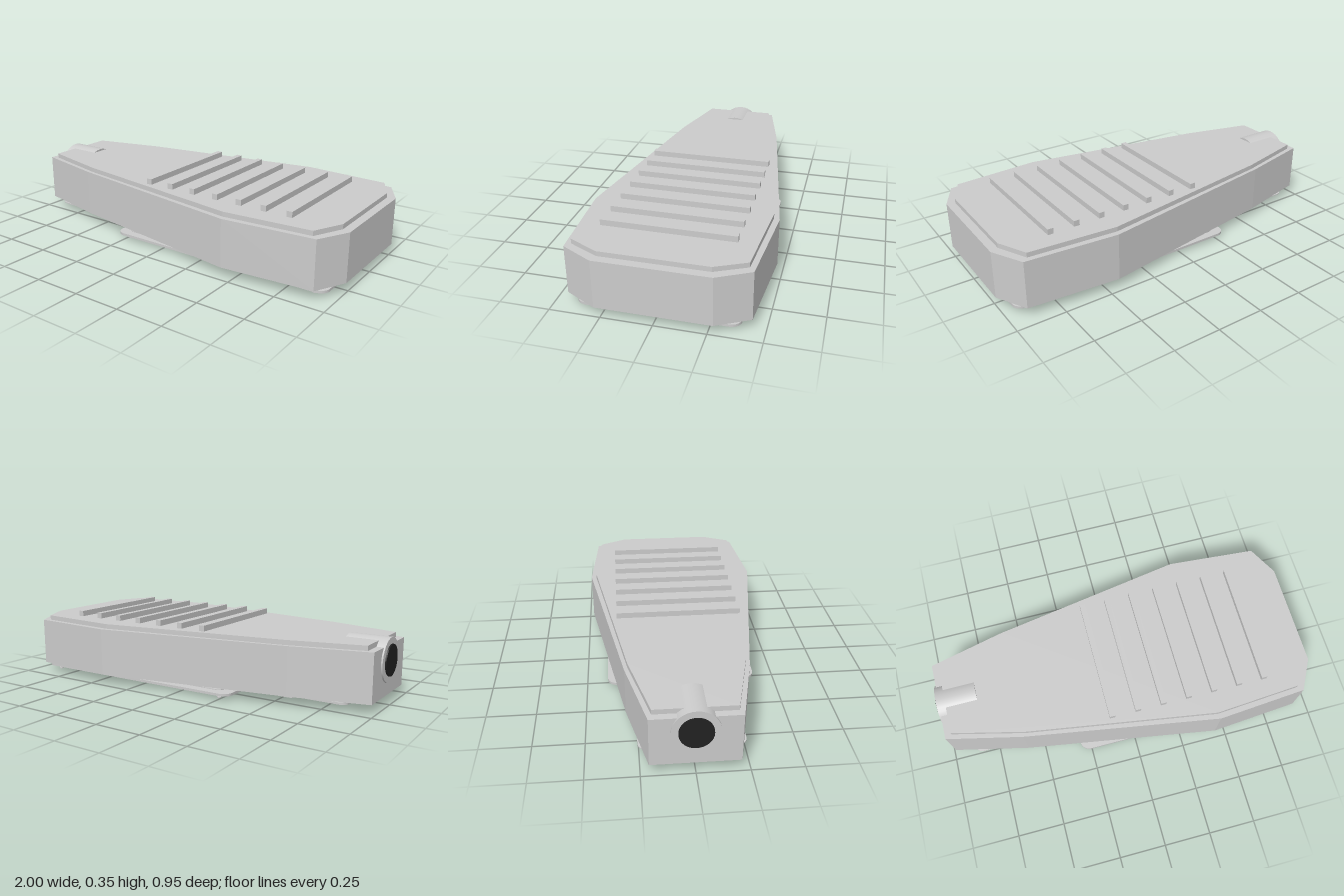
import * as THREE from 'three';

const grey = new THREE.MeshStandardMaterial({ color: 0xcccccc, flatShading: true });
const smooth = new THREE.MeshStandardMaterial({ color: 0xcccccc });
const dark = new THREE.MeshStandardMaterial({ color: 0x222222 });

// Closed shape from one half of a symmetric outline of [x, z] points
function mirroredShape(half) {
  const other = half.map(([x, z]) => [x, -z]).reverse();
  return new THREE.Shape([...half, ...other].map(([x, z]) => new THREE.Vector2(x, z)));
}

function roundedRect(x0, x1, halfZ, r, Type = THREE.Shape) {
  const s = new Type();
  s.absarc(x1 - r, halfZ - r, r, 0, Math.PI / 2);
  s.absarc(x0 + r, halfZ - r, r, Math.PI / 2, Math.PI);
  s.absarc(x0 + r, r - halfZ, r, Math.PI, Math.PI * 1.5);
  s.absarc(x1 - r, r - halfZ, r, Math.PI * 1.5, Math.PI * 2);
  s.closePath();
  return s;
}

export function createModel() {
  const model = new THREE.Group();

  function add(name, geometry, material, x = 0, y = 0, z = 0) {
    const mesh = new THREE.Mesh(geometry, material);
    mesh.name = name;
    mesh.position.set(x, y, z);
    model.add(mesh);
    return mesh;
  }

  // Horizontal slab between two heights
  function slab(name, shape, y0, y1, material = grey) {
    const geometry = new THREE.ExtrudeGeometry(shape, { depth: y1 - y0, bevelEnabled: false, curveSegments: 5 });
    geometry.rotateX(-Math.PI / 2);
    return add(name, geometry, material, 0, y0);
  }

  // Tapered housing and its inset lid
  slab('housing', mirroredShape([[-0.985, 0.21], [-0.59, 0.302], [0.44, 0.474], [0.915, 0.437], [1, 0.277]]), 0.05, 0.3);
  slab('lid', mirroredShape([[-0.948, 0.193], [-0.57, 0.286], [0.43, 0.445], [0.885, 0.412], [0.958, 0.262]]), 0.3, 0.325);

  // Cooling ribs
  for (let i = 0; i < 7; i++) {
    add('coolingRib', new THREE.BoxGeometry(0.03, 0.03, 0.66), grey, -0.113 + i * 0.139, 0.34);
  }

  // Mounting socket at the narrow end
  const socket = new THREE.CylinderGeometry(0.113, 0.113, 0.213, 32).rotateZ(Math.PI / 2);
  add('mountingSocket', socket, smooth, -0.8865, 0.224);
  const opening = new THREE.CylinderGeometry(0.08, 0.08, 0.02, 32).rotateZ(Math.PI / 2);
  add('socketOpening', opening, dark, -0.99, 0.224);

  // Lamp frame with its glass
  const frame = roundedRect(-0.305, 0.95, 0.39, 0.05);
  frame.holes.push(roundedRect(-0.225, 0.87, 0.335, 0.03, THREE.Path));
  slab('lampFrame', frame, 0.02, 0.033);
  slab('lampGlass', roundedRect(-0.245, 0.89, 0.355, 0.03), 0.038, 0.042);

  // Service door: base plate and raised rim
  slab('serviceDoor', roundedRect(-0.875, -0.3, 0.255, 0.04), 0.046, 0.051);
  const rim = roundedRect(-0.87, -0.3, 0.236, 0.03);
  rim.holes.push(roundedRect(-0.83, -0.34, 0.2, 0.01, THREE.Path));
  slab('serviceDoorRim', rim, 0.034, 0.047);

  for (const side of [-1, 1]) {
    // Door latches
    add('doorLatch', new THREE.BoxGeometry(0.12, 0.01, 0.05), grey, -0.55, 0.045, side * 0.255);
    // Small screws below the lamp frame corners
    for (const x of [-0.235, 0.88]) {
      add('frameScrew', new THREE.CylinderGeometry(0.011, 0.011, 0.006, 12), smooth, x, 0.003, side * 0.35);
    }
  }

  return model;
}
